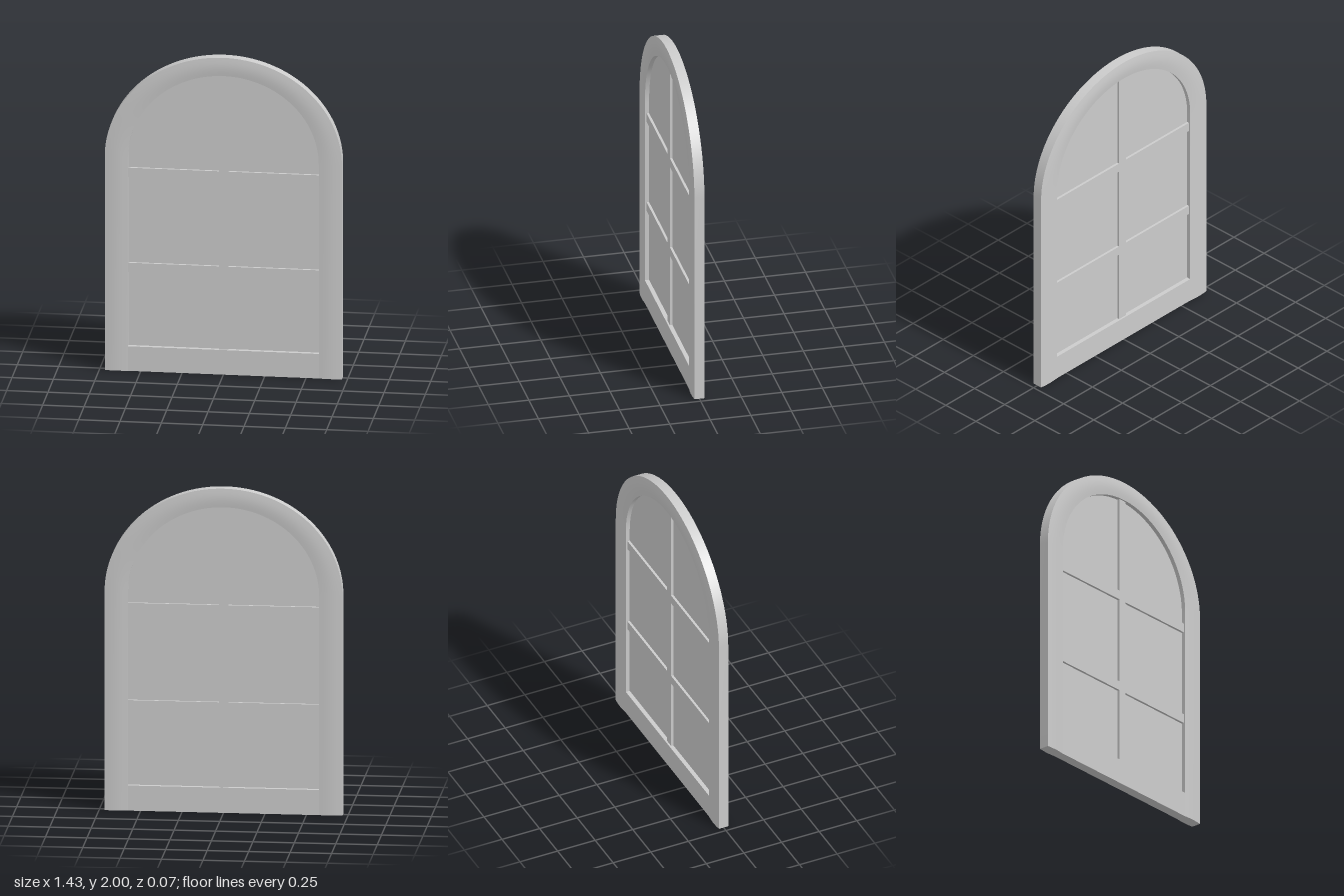
import * as THREE from 'three';
import { toCreasedNormals } from 'three/addons/utils/BufferGeometryUtils.js';

const SPRING = 1.35;                       // height where the arch begins
const OUTER = { rx: 0.717, ry: 0.65 };
const INNER = { rx: 0.577, ry: 0.535 };
const SILL = 0.155;
const EDGE_Z = 0.031, BULGE = 0.005;

// Arched path from the foot of one jamb over to the other, t = 0 outer, 1 inner
function archStations(t, base, steps = 64) {
  const rx = THREE.MathUtils.lerp(OUTER.rx, INNER.rx, t);
  const ry = THREE.MathUtils.lerp(OUTER.ry, INNER.ry, t);
  const points = [new THREE.Vector2(rx, base)];
  for (let i = 0; i <= steps; i++) {
    const a = Math.PI * i / steps;
    points.push(new THREE.Vector2(rx * Math.cos(a), SPRING + ry * Math.sin(a)));
  }
  points.push(new THREE.Vector2(-rx, base));
  return points;
}

// Gently crowned section swept around the arch
function frameGeometry() {
  const n = 8, section = [];
  for (let k = 0; k <= n; k++) section.push([k / n, 1]);
  for (let k = n; k >= 0; k--) section.push([k / n, -1]);
  const rails = section.map(([t]) => archStations(t, 0));
  const count = rails[0].length, m = section.length;
  const positions = [], index = [];
  for (let i = 0; i < count; i++) {
    section.forEach(([t, side], j) => {
      const z = side * (EDGE_Z + BULGE * Math.sin(Math.PI * t));
      positions.push(rails[j][i].x, rails[j][i].y, z);
    });
  }
  for (let i = 0; i < count - 1; i++) {
    for (let j = 0; j < m; j++) {
      const a = i * m + j, b = i * m + (j + 1) % m;
      index.push(a, a + m, b, b, a + m, b + m);
    }
  }
  // Feet of the jambs
  const last = (count - 1) * m;
  for (let j = 1; j < m - 1; j++) {
    index.push(0, j, j + 1, last, last + j + 1, last + j);
  }
  const g = new THREE.BufferGeometry();
  g.setAttribute('position', new THREE.Float32BufferAttribute(positions, 3));
  g.setIndex(index);
  return toCreasedNormals(g, 0.6);
}

export function createModel() {
  const group = new THREE.Group();
  group.name = 'archedWindow';
  const material = new THREE.MeshStandardMaterial({ color: 0xcccccc });
  const add = (name, geometry, x = 0, y = 0, z = 0) => {
    const mesh = new THREE.Mesh(geometry, material);
    mesh.name = name;
    mesh.position.set(x, y, z);
    group.add(mesh);
  };

  add('archedFrame', frameGeometry());

  // Bottom rail, flush with the inner edges of the jambs
  add('bottomRail', new THREE.BoxGeometry(2 * INNER.rx, SILL, 2 * EDGE_Z), 0, SILL / 2);

  // Recessed pane filling the arched opening
  const pane = new THREE.ExtrudeGeometry(new THREE.Shape(archStations(1, SILL)),
    { depth: 0.01, bevelEnabled: false });
  add('pane', pane, 0, 0, -0.005);

  // Glazing bars on both faces of the pane
  const top = SPRING + INNER.ry, barDepth = 0.04, barWidth = 0.058;
  add('verticalBar', new THREE.BoxGeometry(barWidth, top - SILL, barDepth), 0, (top + SILL) / 2);
  for (const y of [0.65, 1.25]) {
    for (const s of [-1, 1]) {
      const length = INNER.rx - barWidth / 2;
      add('horizontalBar', new THREE.BoxGeometry(length, barWidth, barDepth),
        s * (barWidth + length) / 2, y);
    }
  }
  return group;
}
